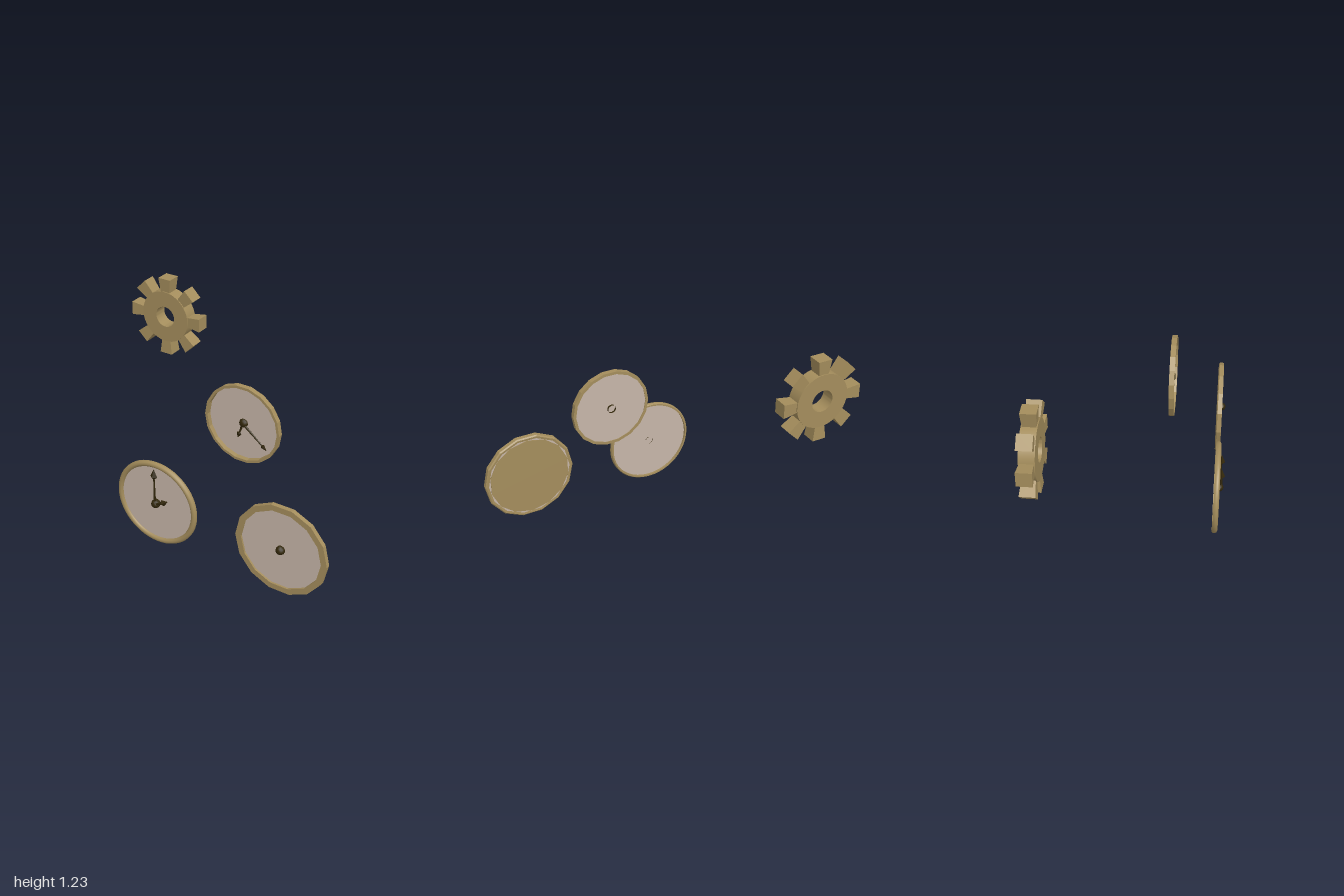
import * as THREE from 'three';
import { toCreasedNormals } from 'three/addons/utils/BufferGeometryUtils.js';

const material = (name, color, side = THREE.FrontSide) => {
  const m = new THREE.MeshStandardMaterial({ color, side });
  m.name = name;
  return m;
};

export function createModel() {
  const brass = material('brass', 0xa48d5c);
  const paleFace = material('pale face', 0xc6b5a8, THREE.DoubleSide);
  const darkMetal = material('dark metal', 0x32270a, THREE.DoubleSide);
  const root = new THREE.Group();
  root.name = 'clockParts';

  const add = (parent, name, geometry, mat, x = 0, y = 0, z = 0) => {
    const mesh = new THREE.Mesh(geometry, mat);
    mesh.name = name;
    mesh.position.set(x, y, z);
    parent.add(mesh);
    return mesh;
  };
  const group = (parent, name, x, y, z) => {
    const g = new THREE.Group();
    g.name = name;
    g.position.set(x, y, z);
    parent.add(g);
    return g;
  };

  // Ring turned about z from [radius, z] pairs, with a corner on the x axis
  const rimGeometry = (profile, sides, crease) => {
    const pts = [...profile, profile[0]].map(([r, z]) => new THREE.Vector2(r, z));
    const g = new THREE.LatheGeometry(pts, sides, Math.PI / 2);
    g.rotateX(Math.PI / 2);
    return toCreasedNormals(g, crease);
  };

  // Hub: front dome with a short open collar through the face
  const addHub = (parent, z, height, back) => {
    const dome = new THREE.SphereGeometry(0.028, 10, 4, 0, Math.PI * 2, 0, Math.PI / 2);
    dome.rotateX(Math.PI / 2).scale(1, 1, height / 0.028);
    add(parent, 'hubDome', dome, darkMetal, 0, 0, z);
    const collar = new THREE.CylinderGeometry(0.026, 0.026, z - back, 10, 1, true);
    collar.rotateX(Math.PI / 2);
    add(parent, 'hubCollar', collar, darkMetal, 0, 0, (z + back) / 2);
  };

  // Hand pointing up: tapered needle ending in a faceted spade
  const addHand = (parent, name, length, angle, z, size, depth) => {
    const hand = group(parent, name, 0, 0, z);
    hand.rotation.z = angle;
    const tip = 0.052 * size;
    const neck = length - tip;
    const needle = new THREE.CylinderGeometry(0.0045, 0.009, neck, 6);
    needle.scale(1, 1, 0.6);
    add(hand, 'needle', needle, darkMetal, 0, neck / 2, 0);
    const point = new THREE.ConeGeometry(0.024 * size, tip, 4).toNonIndexed();
    point.computeVertexNormals();
    point.scale(1, 1, depth);
    add(hand, 'spadePoint', point, darkMetal, 0, neck + tip / 2, 0);
    const base = new THREE.ConeGeometry(0.024 * size, 0.022 * size, 4).toNonIndexed();
    base.computeVertexNormals();
    base.rotateX(Math.PI).scale(1, 1, depth);
    add(hand, 'spadeBase', base, darkMetal, 0, neck - 0.011 * size, 0);
  };

  // Gear: pierced disc with eight flared teeth
  const gear = group(root, 'gear', -0.737, 0.972, -0.505);
  const disc = new THREE.Shape().absarc(0, 0, 0.174, 0, Math.PI * 2, false);
  disc.holes.push(new THREE.Path().absarc(0, 0, 0.07, 0, Math.PI * 2, true));
  const discGeo = new THREE.ExtrudeGeometry(disc, { depth: 0.09, bevelEnabled: false, curveSegments: 32 });
  discGeo.translate(0, 0, -0.045);
  add(gear, 'gearDisc', toCreasedNormals(discGeo, 0.5), brass);

  const toothGeo = new THREE.BoxGeometry(0.09, 0.1, 0.09);
  const p = toothGeo.attributes.position;
  for (let i = 0; i < p.count; i++) {
    if (p.getY(i) < 0) p.setXYZ(i, p.getX(i) * 0.7, p.getY(i), p.getZ(i) * 0.86);
  }
  toothGeo.translate(0, 0.213, 0);
  toothGeo.computeVertexNormals();
  for (let i = 0; i < 8; i++) {
    add(gear, 'gearTooth', toothGeo, brass).rotation.z = i * Math.PI / 4;
  }

  // Round clock with a smooth rim and two hands
  const round = group(root, 'roundClock', -0.145, 0.29, 0.48);
  add(round, 'roundRim', rimGeometry([
    [0.264, 0], [0.274, 0], [0.28, 0.008], [0.28, 0.02], [0.275, 0.029],
    [0.264, 0.034], [0.253, 0.031], [0.246, 0.023], [0.246, 0.018], [0.264, 0.016],
  ], 56, 0.8), brass);
  add(round, 'roundFace', new THREE.CircleGeometry(0.266, 56), paleFace, 0, 0, 0.015);
  addHub(round, 0.03, 0.028, 0.012);
  addHand(round, 'minuteHand', 0.248, 0, 0.039, 1, 0.85);
  addHand(round, 'hourHand', 0.115, -Math.PI / 3, 0.046, 0.85, 0.95);

  // Thin-rimmed clock with eighteen sides
  const thin = group(root, 'thinClock', 0.264, 0.816, 0.184);
  add(thin, 'thinRim', rimGeometry([
    [0.23, 0], [0.248, 0], [0.248, 0.032], [0.232, 0.032],
  ], 18, 0.2), brass);
  add(thin, 'thinFace', new THREE.CircleGeometry(0.234, 18), paleFace, 0, 0, 0.004);
  addHub(thin, 0.006, 0.024, -0.009);
  addHand(thin, 'minuteHand', 0.208, -Math.PI / 2 - 0.69, 0.016, 0.68, 0.5);
  addHand(thin, 'hourHand', 0.11, Math.PI - 0.33, 0.016, 0.68, 0.5);

  // Broad-rimmed clock with fourteen sides, a solid back and no hands
  const broad = group(root, 'broadClock', 0.704, 0.29, 0.477);
  add(broad, 'broadRim', rimGeometry([
    [0.272, 0.002], [0.286, 0], [0.294, 0.006], [0.294, 0.034], [0.257, 0.034], [0.257, 0.018], [0.272, 0.018],
  ], 14, 0.2), brass);
  const slab = new THREE.CylinderGeometry(0.273, 0.273, 0.018, 14);
  slab.rotateY(Math.PI / 2).rotateX(Math.PI / 2);
  add(broad, 'broadFace', slab, paleFace, 0, 0, 0.013);
  const plate = new THREE.CylinderGeometry(0.264, 0.264, 0.005, 14);
  plate.rotateY(Math.PI / 2 + Math.PI / 14).rotateX(Math.PI / 2);
  add(broad, 'backPlate', plate, brass, 0, 0, 0.0025);
  addHub(broad, 0.03, 0.028, 0.02);

  return root;
}
